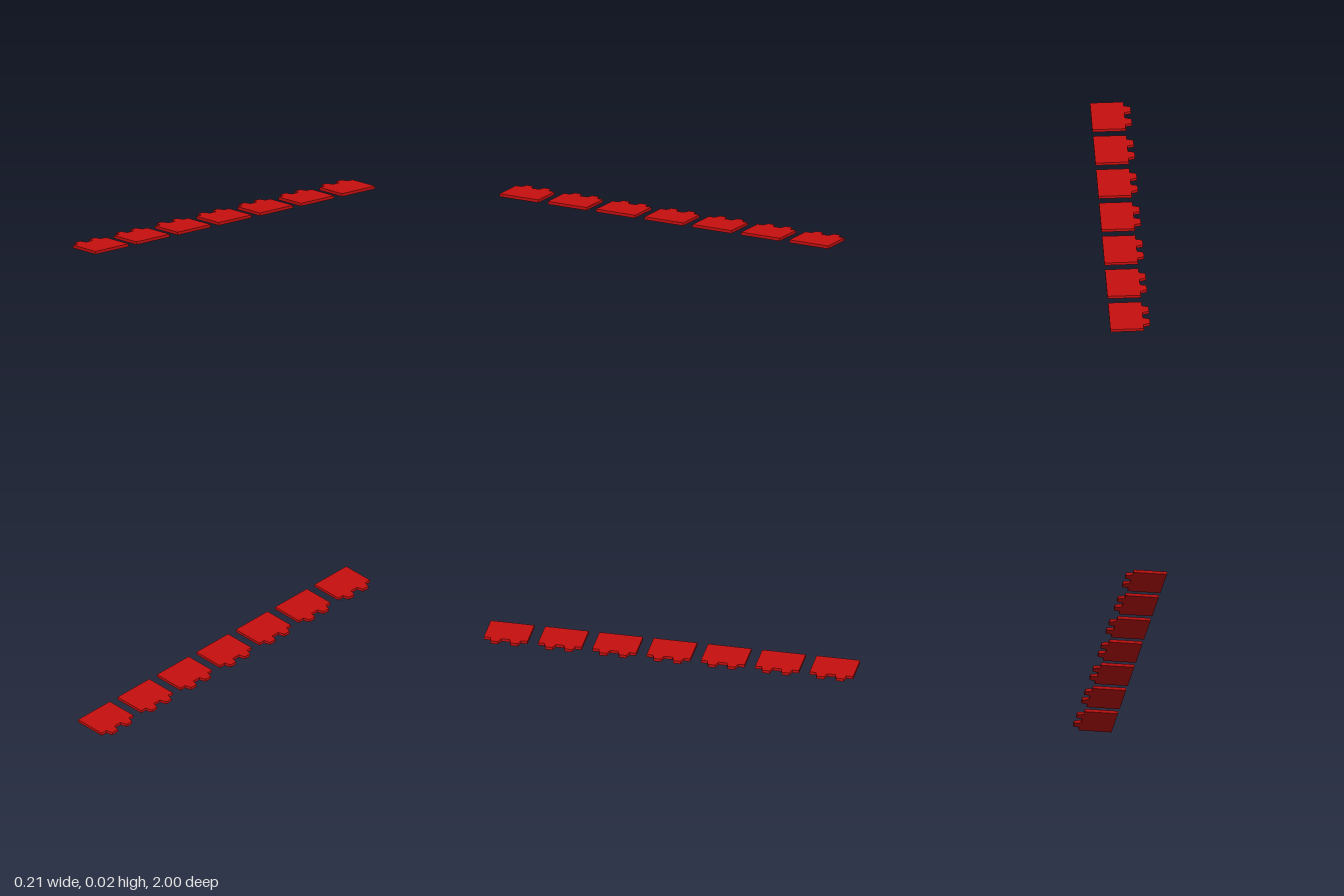
import * as THREE from 'three';

const COUNT = 7, LENGTH = 0.236, PITCH = 0.294, THICK = 0.016;
const RIGHT = -0.071, LEFT = 0.106, TIP = -0.106;
const TAB_OFFSET = 0.053, TAB_BASE = 0.03, TAB_TIP = 0.02;

// Flat plate outline with two tapered tabs on one edge, extruded upwards
function plateGeometry() {
  const h = LENGTH / 2;
  const outline = [[LEFT, -h], [LEFT, h], [RIGHT, h]];
  for (const c of [TAB_OFFSET, -TAB_OFFSET]) {
    outline.push([RIGHT, c + TAB_BASE], [TIP, c + TAB_TIP], [TIP, c - TAB_TIP], [RIGHT, c - TAB_BASE]);
  }
  outline.push([RIGHT, -h]);
  const shape = new THREE.Shape(outline.map(([x, y]) => new THREE.Vector2(x, y)));
  const geometry = new THREE.ExtrudeGeometry(shape, { depth: THICK, bevelEnabled: false });
  return geometry.rotateX(-Math.PI / 2);
}

export function createModel() {
  const model = new THREE.Group();
  model.name = 'plateRow';
  const material = new THREE.MeshStandardMaterial({ color: 0xc80f0f });
  const geometry = plateGeometry();

  // Evenly spaced row of identical plates
  for (let i = 0; i < COUNT; i++) {
    const plate = new THREE.Mesh(geometry, material);
    plate.name = `tabbedPlate${i + 1}`;
    plate.position.z = (i - (COUNT - 1) / 2) * PITCH;
    model.add(plate);
  }
  return model;
}
